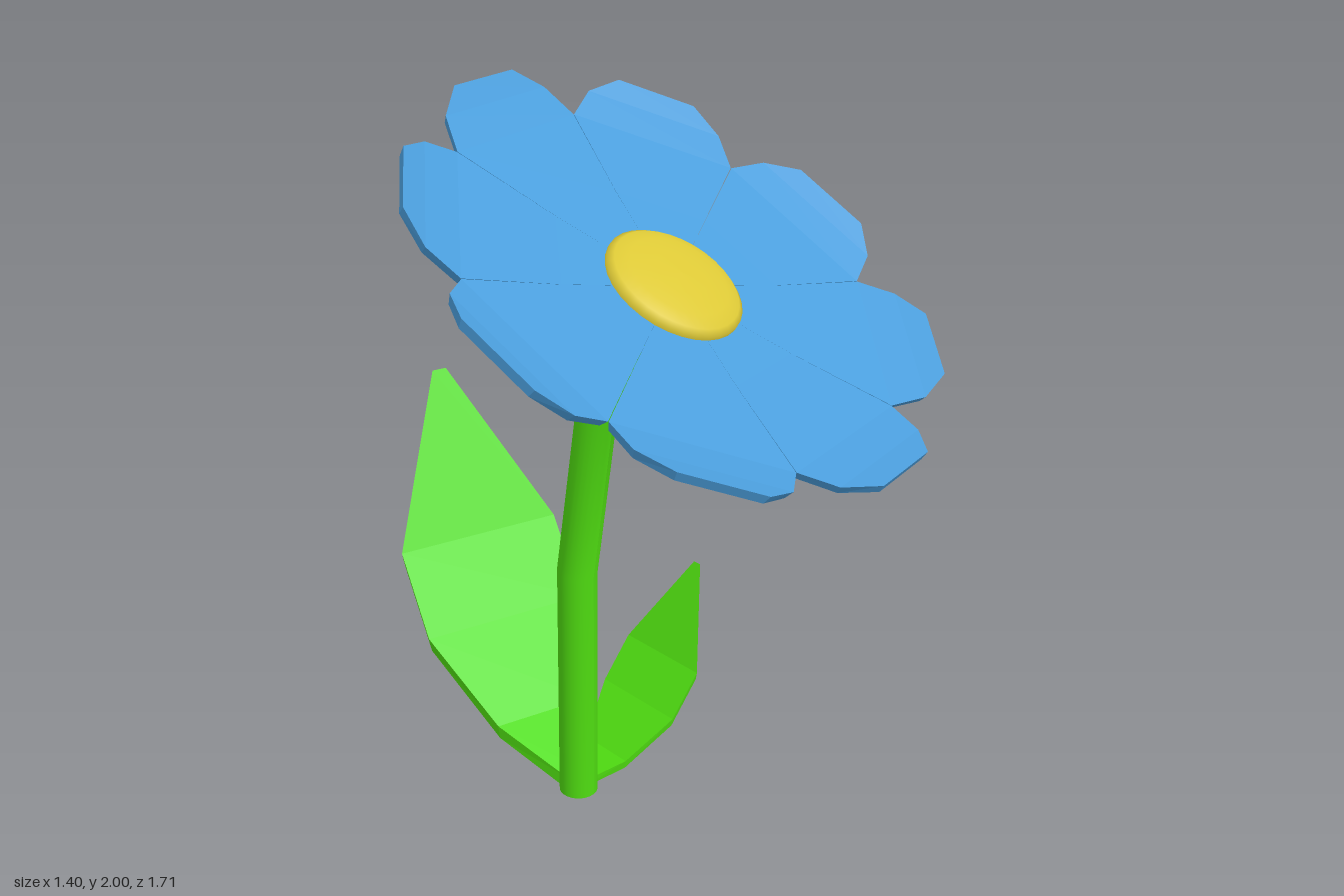
import * as THREE from 'three';

const material = (color, flatShading = false) => new THREE.MeshStandardMaterial({ color, flatShading });

// Solid strip along +z from [distance, height, halfWidth] rows; the underside is slightly narrower
function blade(rows, thickness, under) {
  const rings = rows.map(([z, y, w]) => [
    [-w, y, z], [w, y, z], [w * under, y - thickness, z], [-w * under, y - thickness, z],
  ]);
  const pos = [];
  const quad = (a, b, c, d) => pos.push(...a, ...b, ...c, ...a, ...c, ...d);
  for (let i = 0; i < rings.length - 1; i++) {
    const p = rings[i], q = rings[i + 1];
    for (let j = 0; j < 4; j++) {
      const k = (j + 1) % 4;
      quad(p[j], q[j], q[k], p[k]);
    }
  }
  quad(...rings[0]);
  quad(...rings[rings.length - 1].slice().reverse());
  const geo = new THREE.BufferGeometry();
  geo.setAttribute('position', new THREE.Float32BufferAttribute(pos, 3));
  geo.computeVertexNormals();
  return geo;
}

const lathe = (profile, segments) =>
  new THREE.LatheGeometry(profile.map(([r, y]) => new THREE.Vector2(r, y)), segments);

// Cylinder whose rings follow a bent path of [y, z, tilt in degrees]
function bentStem(path, radius) {
  const spans = path.length - 1;
  const geo = new THREE.CylinderGeometry(radius, radius, 1, 24, spans);
  const p = geo.attributes.position;
  for (let i = 0; i < p.count; i++) {
    const [y, z, tilt] = path[Math.round((p.getY(i) + 0.5) * spans)];
    const t = THREE.MathUtils.degToRad(tilt);
    const dz = p.getZ(i);
    p.setY(i, y - dz * Math.sin(t));
    p.setZ(i, z + dz * Math.cos(t));
  }
  geo.computeVertexNormals();
  return geo;
}

export function createModel() {
  const model = new THREE.Group();
  model.name = 'flower';
  const green = material(0x4fdc11);
  const leafGreen = material(0x4fdc11, true);
  const blue = material(0x4b9edc, true);
  const yellow = material(0xdcc836);

  const add = (parent, name, geo, mat) => {
    const mesh = new THREE.Mesh(geo, mat);
    mesh.name = name;
    parent.add(mesh);
    return mesh;
  };

  // Stem
  const path = [[0, -0.075, 0], [0.715, -0.075, 4], [1.2, -0.01, 22], [1.45, 0.136, 31]];
  add(model, 'stem', bentStem(path, 0.055), green);

  // Tilted flower head
  const head = new THREE.Group();
  head.name = 'flowerHead';
  head.position.set(0, 1.58, 0.214);
  head.rotation.x = THREE.MathUtils.degToRad(31);
  model.add(head);

  // Flared cup under the petals
  add(head, 'receptacle', lathe([
    [0.055, -0.2], [0.068, -0.165], [0.098, -0.124], [0.138, -0.065], [0.18, -0.03], [0.18, -0.01],
  ], 24), green);

  // Eight petals, lifted at the tips
  const petalGeo = blade([
    [0.03, 0, 0.0124], [0.3, 0.004, 0.124], [0.55, 0.02, 0.227], [0.64, 0.045, 0.19], [0.7, 0.07, 0.11],
  ], 0.024, 0.95);
  for (let i = 0; i < 8; i++) {
    add(head, 'petal', petalGeo, blue).rotation.y = (i * Math.PI) / 4;
  }

  // Domed centre
  add(head, 'flowerCentre', lathe([
    [0.18, -0.01], [0.18, 0.012], [0.165, 0.024], [0.13, 0.035], [0.07, 0.043], [0, 0.046],
  ], 32), yellow);

  // Two leaves of one shape: the small one to the side, the large one to the back
  const leafGeo = blade([
    [0, 0.04, 0.03], [0.2, 0.14, 0.15], [0.43, 0.345, 0.255], [0.6, 0.55, 0.255], [0.845, 1, 0.022],
  ], 0.042, 0.97);
  for (const [name, dx, dz, scale] of [['largeLeaf', 0.41, -0.911, 1], ['smallLeaf', 0.98, 0.2, 0.56]]) {
    const leaf = add(model, name, leafGeo, leafGreen);
    leaf.position.z = -0.08;
    leaf.rotation.y = Math.atan2(dx, dz);
    leaf.scale.setScalar(scale);
  }

  return model;
}
